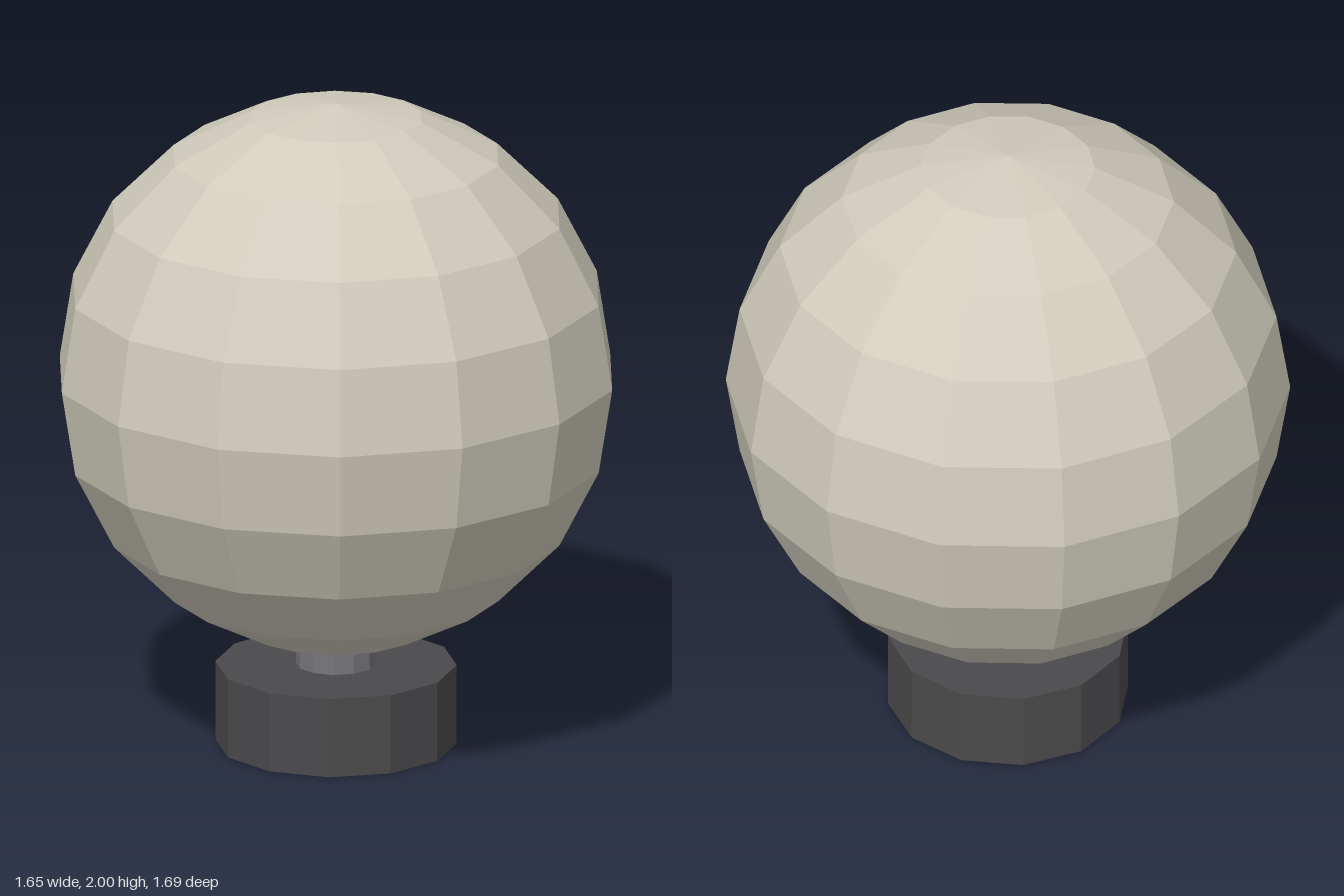
import * as THREE from 'three';

const material = (color) => new THREE.MeshStandardMaterial({ color, flatShading: true });

function part(name, geometry, color, y) {
  const mesh = new THREE.Mesh(geometry, material(color));
  mesh.name = name;
  mesh.position.y = y;
  return mesh;
}

export function createModel() {
  const model = new THREE.Group();
  model.name = 'globeLamp';

  // Twelve-sided foot
  model.add(part('base', new THREE.CylinderGeometry(0.362, 0.362, 0.245, 12), 0x4a4a4c, 0.1225));

  // Short stem, reaching slightly into the globe
  model.add(part('neck', new THREE.CylinderGeometry(0.12, 0.12, 0.12, 12), 0x77777a, 0.3));

  // Faceted globe, turned so that corners point to the front and back
  const globe = new THREE.SphereGeometry(0.845, 14, 10).rotateY(Math.PI / 2);
  model.add(part('globe', globe, 0xd0ccbc, 1.155));

  return model;
}
